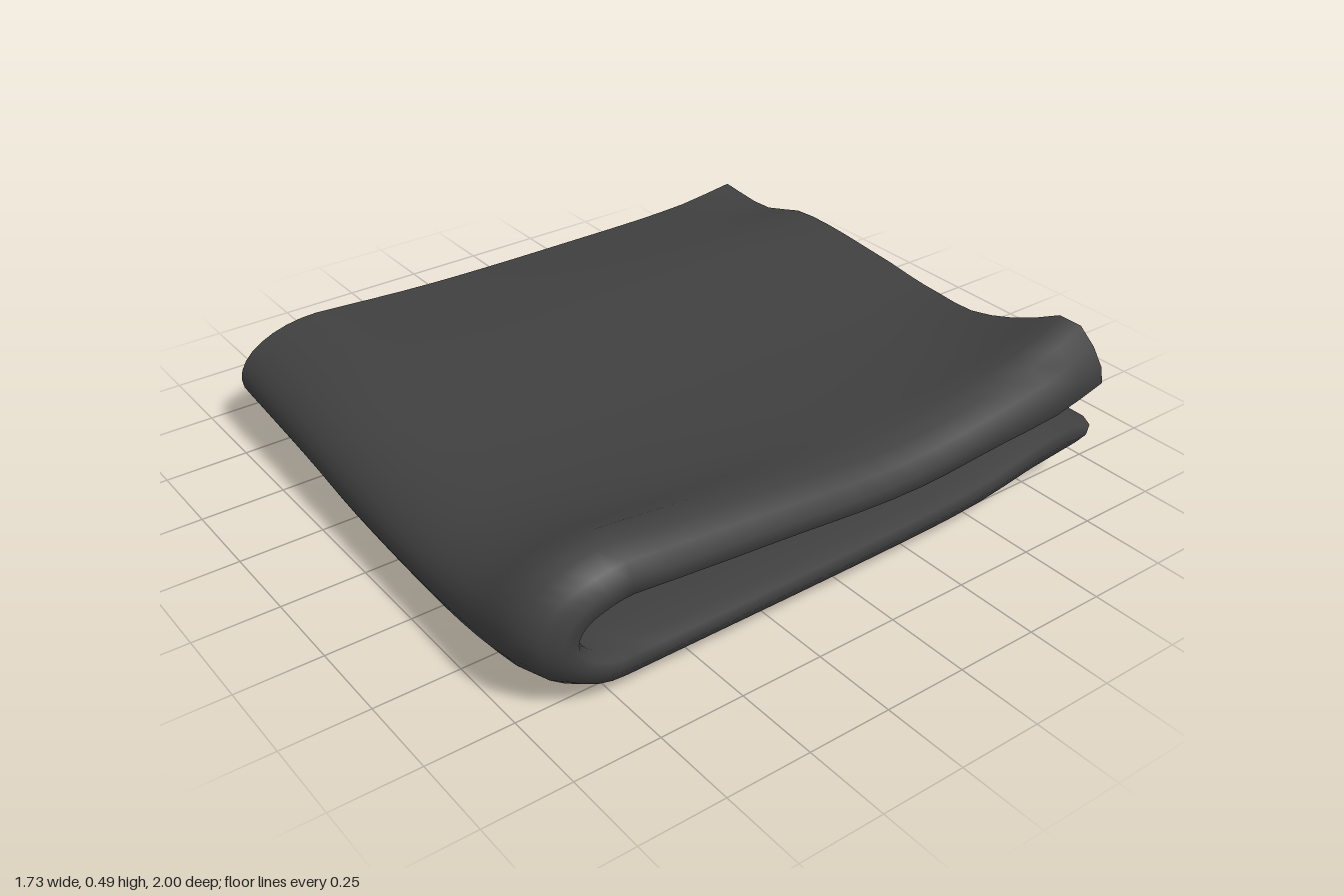
import * as THREE from 'three';

// Smooth interpolation through a few (x, y) samples, clamped at the ends
function curve(xs, ys, x) {
  const n = xs.length - 1;
  if (x <= xs[0]) return ys[0];
  if (x >= xs[n]) return ys[n];
  let i = 0;
  while (x > xs[i + 1]) i++;
  const slope = k => {
    const a = Math.max(0, k - 1), b = Math.min(n, k + 1);
    return (ys[b] - ys[a]) / (xs[b] - xs[a]);
  };
  const h = xs[i + 1] - xs[i], t = (x - xs[i]) / h, t2 = t * t, t3 = t2 * t;
  return (2 * t3 - 3 * t2 + 1) * ys[i] + (t3 - 2 * t2 + t) * h * slope(i)
    + (3 * t2 - 2 * t3) * ys[i + 1] + (t3 - t2) * h * slope(i + 1);
}
const surface = (xs, zs, rows, x, z) => curve(zs, rows.map(r => curve(xs, r, x)), z);

// Soft relief of the top and bottom of the folded stack (rows run back to front)
const topX = [-0.82, -0.6, -0.4, 0, 0.2, 0.4, 0.6, 0.75, 0.84];
const topZ = [-0.88, -0.65, -0.2, 0.3, 0.74];
const topRows = [
  [0.37, 0.36, 0.41, 0.395, 0.38, 0.40, 0.45, 0.505, 0.48],
  [0.34, 0.36, 0.38, 0.36, 0.35, 0.36, 0.39, 0.43, 0.42],
  [0.33, 0.35, 0.36, 0.34, 0.335, 0.34, 0.355, 0.37, 0.365],
  [0.33, 0.34, 0.345, 0.33, 0.325, 0.335, 0.36, 0.405, 0.40],
  [0.35, 0.345, 0.34, 0.32, 0.32, 0.335, 0.385, 0.45, 0.44],
];
const botX = [-0.82, -0.4, -0.15, 0.2, 0.6, 0.8];
const botZ = [-0.97, -0.75, -0.45, -0.1, 0.74];
const botRows = [
  [0.04, 0.08, 0.09, 0.09, 0.09, 0.10],
  [0.08, 0.08, 0.075, 0.075, 0.08, 0.09],
  [0.06, 0.04, 0.02, 0.02, 0.035, 0.05],
  [0.05, 0.03, 0.003, 0.008, 0.025, 0.04],
  [0.055, 0.035, 0.015, 0.015, 0.02, 0.04],
];

// Height of a layer; t runs from the outer face (0) to the inner face (1) of a leaf
function lowerY(x, z, t) {
  const bot = surface(botX, botZ, botRows, x, z);
  const rise = curve([-0.8, 0.8], [0.17, 0.24], x);
  const inner = curve([-1, -0.8, -0.45, -0.1, 0.74], [0.15, rise, 0.185, 0.17, 0.165], z);
  return bot + (inner - bot) * t;
}
function upperY(x, z, t) {
  const top = surface(topX, topZ, topRows, x, z);
  const thick = curve([-0.88, -0.4, 0.74], [curve([-0.8, 0.8], [0.12, 0.2], x), 0.135, 0.13], z);
  const inner = Math.max(top - thick, lowerY(x, z, 1) + 0.012);
  return top + (inner - top) * t;
}

// One point of the stack: s 0..1 upper leaf, 1..2 front fold, 2..3 lower leaf
function place(s, x, t) {
  const front = curve([-0.82, 0.7, 0.86], [0.95, 1, 0.985], x);
  const zc = front - 0.26;
  let y, z;
  if (s <= 1) {
    const back = curve([-0.82, 0.2, 0.45, 0.83], [-0.88, -0.87, -0.84, -0.89], x) - 0.06 * t;
    z = back + (zc - back) * s;
    y = upperY(x, z, t);
  } else if (s < 2) {
    const angle = Math.PI * (1.5 - s);
    const hi = upperY(x, zc, t), lo = lowerY(x, zc, t);
    z = zc + (0.26 - 0.13 * t) * Math.cos(angle);
    y = (hi + lo) / 2 + (hi - lo) / 2 * Math.sin(angle);
  } else {
    const back = curve([-0.82, -0.4, 0.6, 0.8], [-0.95, -0.96, -0.92, -0.87], x) - 0.04 * t;
    z = zc + (back - zc) * (s - 2);
    y = lowerY(x, z, t);
  }
  // Side edges lean outward towards the front and tuck in at the corners
  if (x < 0) x += x * 0.02 * z;
  else x -= x * 0.18 * Math.max(0, Math.abs(z) - 0.8);
  return [x, y, z];
}

// A doubled sheet: outer face, rounded side fold, inner face
function foldedSheet(name, material, tOuter, tInner, inset, edgeOuter, edgeInner) {
  const rim = [[0.72, 0], [0.79, 0.06], [0.835, 0.25], [0.86, 0.55], [0.86, 0.85], [0.83, 1]];
  const across = [], steps = 20;
  for (let i = 0; i < steps; i++) across.push([edgeOuter + (0.72 - inset - edgeOuter) * i / steps, tOuter]);
  for (const [x, t] of rim) across.push([x - inset, tOuter + (tInner - tOuter) * t]);
  for (let i = 1; i <= steps; i++) across.push([0.83 - inset + (edgeInner - 0.83 + inset) * i / steps, tInner]);

  const pos = [], index = [], rows = 48, cols = across.length;
  for (let r = 0; r <= rows; r++)
    for (const [x, t] of across) pos.push(...place(3 * r / rows, x, t));
  for (let r = 0; r < rows; r++)
    for (let c = 0; c < cols - 1; c++) {
      const a = r * cols + c, b = a + cols;
      index.push(a, b, a + 1, b, b + 1, a + 1);
    }
  const geometry = new THREE.BufferGeometry();
  geometry.setAttribute('position', new THREE.Float32BufferAttribute(pos, 3));
  geometry.setIndex(index);
  geometry.computeVertexNormals();
  const mesh = new THREE.Mesh(geometry, material);
  mesh.name = name;
  return mesh;
}

export function createModel() {
  const cloth = new THREE.MeshStandardMaterial({ color: 0x404040, side: THREE.DoubleSide });
  cloth.name = 'charcoal cloth';
  const group = new THREE.Group();
  group.name = 'foldedBlanket';
  group.add(
    foldedSheet('outerFold', cloth, 0, 1, 0, -0.815, -0.85),
    foldedSheet('innerFold', cloth, 0.33, 0.67, 0.05, -0.835, -0.855),
  );
  return group;
}
